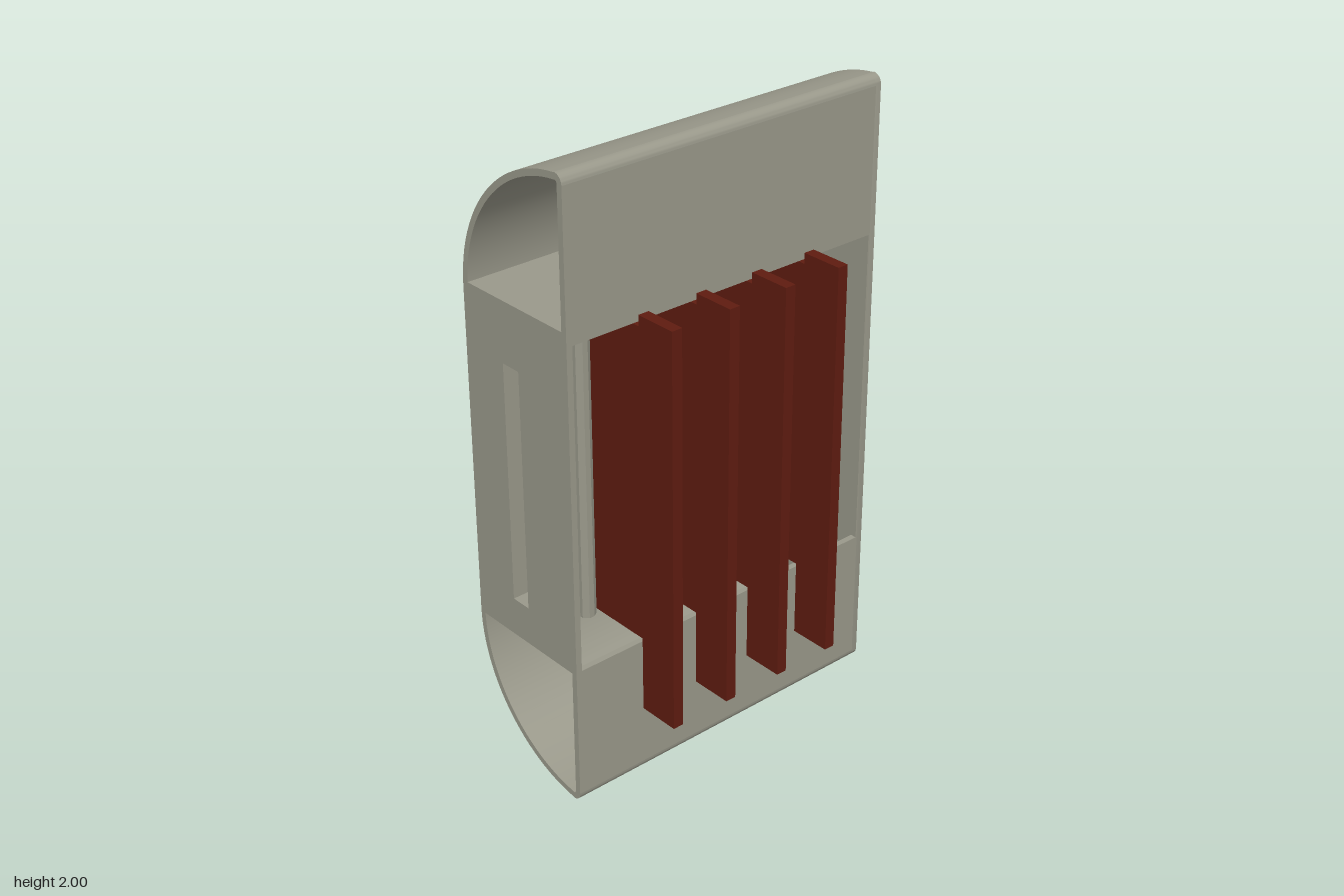
import * as THREE from 'three';
import { toCreasedNormals } from 'three/addons/utils/BufferGeometryUtils.js';

const shellMat = new THREE.MeshStandardMaterial({ color: 0x99988a });
const redMat = new THREE.MeshStandardMaterial({ color: 0x5f1c10 });
const W = 0.58;                                   // half width
const V = (x, y) => new THREE.Vector2(x, y);

export function createModel() {
  const group = new THREE.Group();

  const add = (name, geometry, mat = shellMat) => {
    const mesh = new THREE.Mesh(geometry, mat);
    mesh.name = name;
    group.add(mesh);
    return mesh;
  };
  // box from its limits
  const box = (name, x0, x1, y0, y1, z0, z1, mat) => {
    const g = new THREE.BoxGeometry(x1 - x0, y1 - y0, z1 - z0);
    g.translate((x0 + x1) / 2, (y0 + y1) / 2, (z0 + z1) / 2);
    return add(name, g, mat);
  };
  // profile in (-z, y), extruded along x
  const alongX = (name, shape, x0, x1) => {
    const g = new THREE.ExtrudeGeometry(shape, { depth: x1 - x0, bevelEnabled: false });
    g.rotateY(Math.PI / 2).translate(x0, 0, 0);
    return add(name, toCreasedNormals(g, 0.4));
  };
  // profile in (x, -z), extruded along y
  const alongY = (name, shape, y0, y1) => {
    const g = new THREE.ExtrudeGeometry(shape, { depth: y1 - y0, bevelEnabled: false });
    g.rotateX(-Math.PI / 2).translate(0, y0, 0);
    return add(name, toCreasedNormals(g, 0.4));
  };
  const rect = (x0, x1, y0, y1, Type = THREE.Shape) =>
    new Type([V(x0, y0), V(x1, y0), V(x1, y1), V(x0, y1)]);

  // D-shaped outline inset by t, from bottom front round the back to top front
  const outline = (t) => {
    const pts = [];
    const arc = (cx, cy, r, a0, a1, n) => {
      for (let i = 0; i <= n; i++) {
        const a = a0 + (a1 - a0) * i / n;
        pts.push(V(cx + r * Math.cos(a), cy + r * Math.sin(a)));
      }
    };
    const R = 0.465 - t, r = 0.03 - t, end = Math.acos(0.036 / R);
    arc(-0.13, 0.03, r, Math.PI, Math.PI * 1.5, 8);
    arc(-0.165, 0.465, R, -end, 0, 24);
    arc(-0.165, 1.535, R, 0, end, 24);
    arc(-0.13, 1.97, r, Math.PI / 2, Math.PI, 8);
    return pts;
  };

  // curved shell, open at one end
  alongX('curvedShell', new THREE.Shape([...outline(0), ...outline(0.02).reverse()]), -W, W - 0.02);

  // front plate with large opening
  const front = rect(-W, W - 0.02, 0.03, 1.97);
  front.holes.push(rect(-0.56, 0.555, 0.465, 1.51, THREE.Path));
  const plate = new THREE.ExtrudeGeometry(front, { depth: 0.02, bevelEnabled: false });
  add('frontPlate', plate.translate(0, 0, 0.14));

  // closed end and short end panel, both slotted
  const slot = () => rect(0.06, 0.13, 0.58, 1.355, THREE.Path);
  const endPlate = new THREE.Shape(outline(0));
  endPlate.holes.push(slot());
  alongX('closedEnd', endPlate, W - 0.02, W);
  const endPanel = rect(-0.145, 0.285, 0.455, 1.55);
  endPanel.holes.push(slot());
  alongX('slottedEndPanel', endPanel, -W, -W + 0.02);

  // recess roof and back, with sloped edges
  box('recessRoof', -W, 0.56, 1.51, 1.55, -0.285, 0.145);
  box('recessBack', -0.56, 0.56, 0.455, 1.51, -0.15, -0.13);
  alongX('roofChamfer', new THREE.Shape([V(0.06, 1.51), V(0.13, 1.475), V(0.13, 1.51)]), -0.56, 0.56);
  for (const s of [-1, 1]) {
    for (const [y0, y1] of [[0.465, 0.58], [1.355, 1.51]]) {
      const tri = new THREE.Shape([V(s * 0.56, 0.06), V(s * 0.56, 0.13), V(s * 0.52, 0.13)]);
      alongY('sideChamfer', tri, y0, y1);
    }
  }

  // holder block with a tapered groove behind every fin
  const fins = [-0.314, -0.105, 0.105, 0.31];
  const profile = [V(-0.4, 0.13), V(-0.4, 0.035), V(-0.385, 0.02)];
  for (const x of fins) {
    profile.push(V(x - 0.053, 0.02), V(x - 0.037, 0.03), V(x - 0.025, 0.1),
      V(x + 0.025, 0.1), V(x + 0.037, 0.03), V(x + 0.053, 0.02));
  }
  profile.push(V(0.385, 0.02), V(0.4, 0.035), V(0.4, 0.13));
  alongY('finHolder', new THREE.Shape(profile), 0.48, 1.49);
  box('holderCap', -0.37, 0.37, 1.39, 1.485, -0.13, -0.045);

  // fins: long outer strip plus a shorter inner blade
  for (const x of fins) {
    box('finStrip', x - 0.018, x + 0.018, 0.225, 1.53, 0.161, 0.3, redMat);
    box('finBlade', x - 0.017, x + 0.017, 0.475, 1.495, -0.09, 0.161, redMat);
  }
  return group;
}
